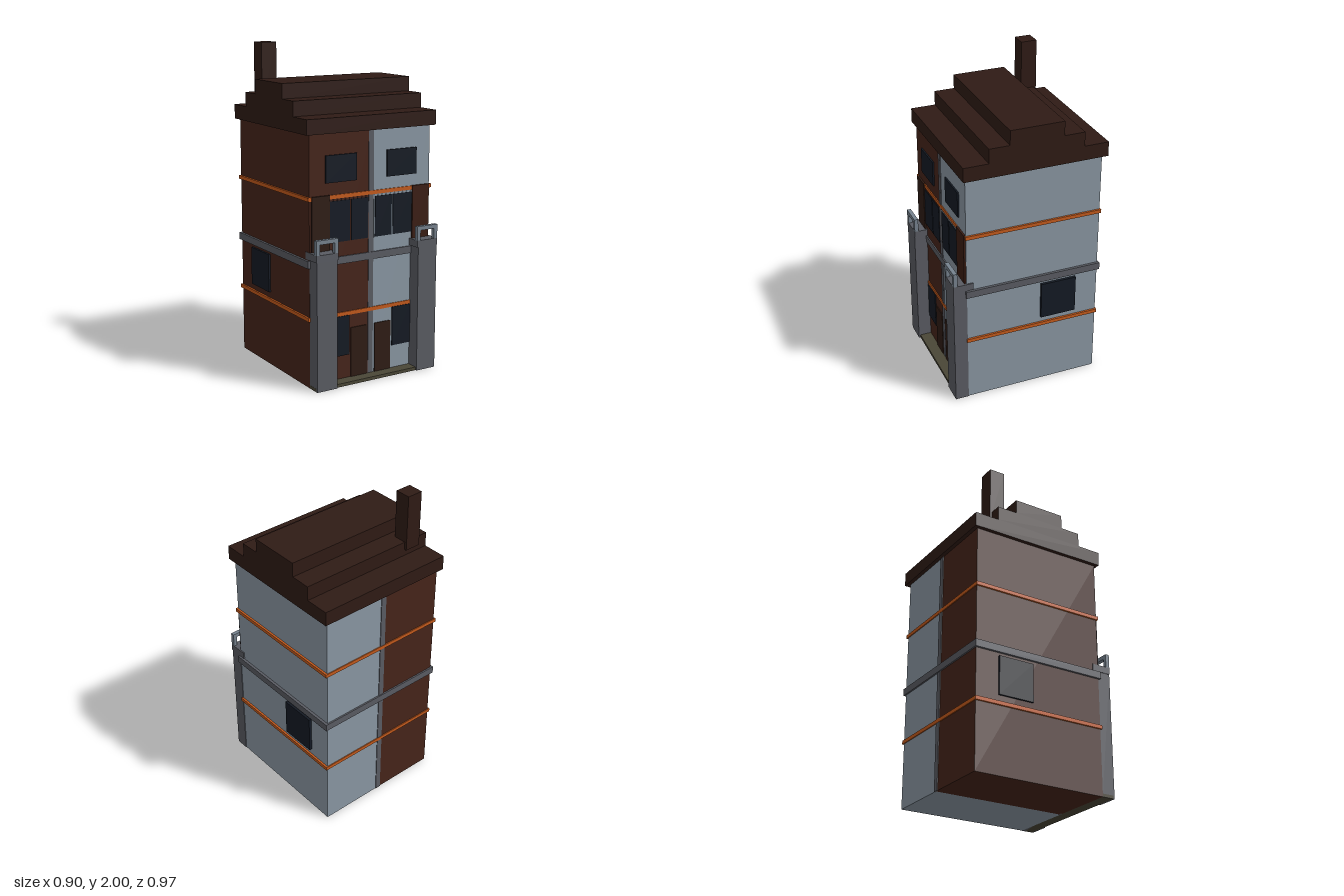
import * as THREE from 'three';

const mat = (color) => new THREE.MeshStandardMaterial({ color });

export function createModel() {
  const house = new THREE.Group();
  house.name = 'townHouse';

  const brick = mat(0x46241a), render = mat(0x8a97a3), stone = mat(0x5a5c63);
  const roofing = mat(0x2f1b15), glass = mat(0x141a24), orange = mat(0xc45a1c);
  const wood = mat(0x2f1c14), redWood = mat(0x3b1d13), paving = mat(0x4a4636), rail = mat(0x77838f);

  // Box given by its limits on each axis
  const box = (name, material, [x0, x1], [y0, y1], [z0, z1], parent = house) => {
    const mesh = new THREE.Mesh(new THREE.BoxGeometry(x1 - x0, y1 - y0, z1 - z0), material);
    mesh.position.set((x0 + x1) / 2, (y0 + y1) / 2, (z0 + z1) / 2);
    mesh.name = name;
    parent.add(mesh);
    return mesh;
  };

  // Two differently finished halves, with a dividing strip front and back
  box('brickHalf', brick, [-0.425, 0], [0, 1.515], [-0.46, 0.4]);
  box('renderedHalf', render, [0, 0.42], [0, 1.515], [-0.46, 0.4]);
  box('frontDivider', stone, [-0.02, 0.015], [0, 1.515], [0.39, 0.404]);
  box('backDivider', stone, [-0.02, 0.015], [0, 1.515], [-0.464, -0.45]);

  // Belts that wrap round the walls
  for (const y of [0.413, 1.13]) {
    box('orangeBelt', orange, [-0.437, 0.433], [y, y + 0.023], [-0.466, 0.406]);
  }
  box('stoneBelt', stone, [-0.44, 0.437], [0.735, 0.78], [-0.47, 0.408]);

  // Stepped roof and chimney
  const tiers = [[1.515, -0.485, 0.42], [1.605, -0.33, 0.265], [1.695, -0.2, 0.137]];
  for (const [y, back, front] of tiers) {
    box('roofTier', roofing, [-0.45, 0.45], [y, y + 0.09], [back, front]);
  }
  box('chimney', roofing, [-0.38, -0.278], [1.645, 2], [-0.345, -0.245]);

  // Front step
  box('frontStep', paving, [-0.425, 0.42], [0, 0.02], [0.4, 0.475]);

  // Each side: pillar, balcony, railing, doors and windows
  for (const side of [-1, 1]) {
    const half = new THREE.Group();
    half.name = side < 0 ? 'rightHalfDetails' : 'leftHalfDetails';
    house.add(half);
    const span = (a, b) => (side < 0 ? [-b, -a] : [a, b]);
    const part = (name, material, a, b, y, z) => box(name, material, span(a, b), y, z, half);

    part('pillar', stone, 0.288, 0.424, [0, 0.785], [0.4, 0.485]);
    part('balconyFloor', stone, 0.28, 0.428, [0.785, 0.828], [0.36, 0.485]);

    // Railing frame
    const [r0, r1] = [0.28, 0.428];
    part('railPost', rail, r0, r0 + 0.024, [0.828, 0.89], [0.46, 0.485]);
    part('railPost', rail, r1 - 0.024, r1, [0.828, 0.89], [0.46, 0.485]);
    part('topRail', rail, r0, r1, [0.89, 0.915], [0.46, 0.485]);

    part('balconyDoor', side < 0 ? wood : redWood, 0.292, 0.413, [0.828, 1.155], [0.39, 0.412]);
    part('frontDoor', wood, 0.027, 0.143, [0.02, 0.33], [0.39, 0.406]);
    part('groundWindow', glass, 0.155, 0.289, [0.165, 0.412], [0.39, 0.407]);

    // Paired window on a shallow frame
    part('windowFrame', side < 0 ? brick : render, 0.018, 0.292, [0.862, 1.125], [0.39, 0.403]);
    part('middleWindow', glass, 0.025, 0.143, [0.87, 1.117], [0.39, 0.407]);
    part('middleWindow', glass, 0.152, 0.29, [0.87, 1.117], [0.39, 0.407]);

    part('upperWindow', glass, 0.107, 0.319, [1.227, 1.388], [0.39, 0.41]);
    part('sideWindow', glass, 0.41, 0.438, [0.475, 0.715], [-0.31, -0.08]);
  }
  return house;
}
